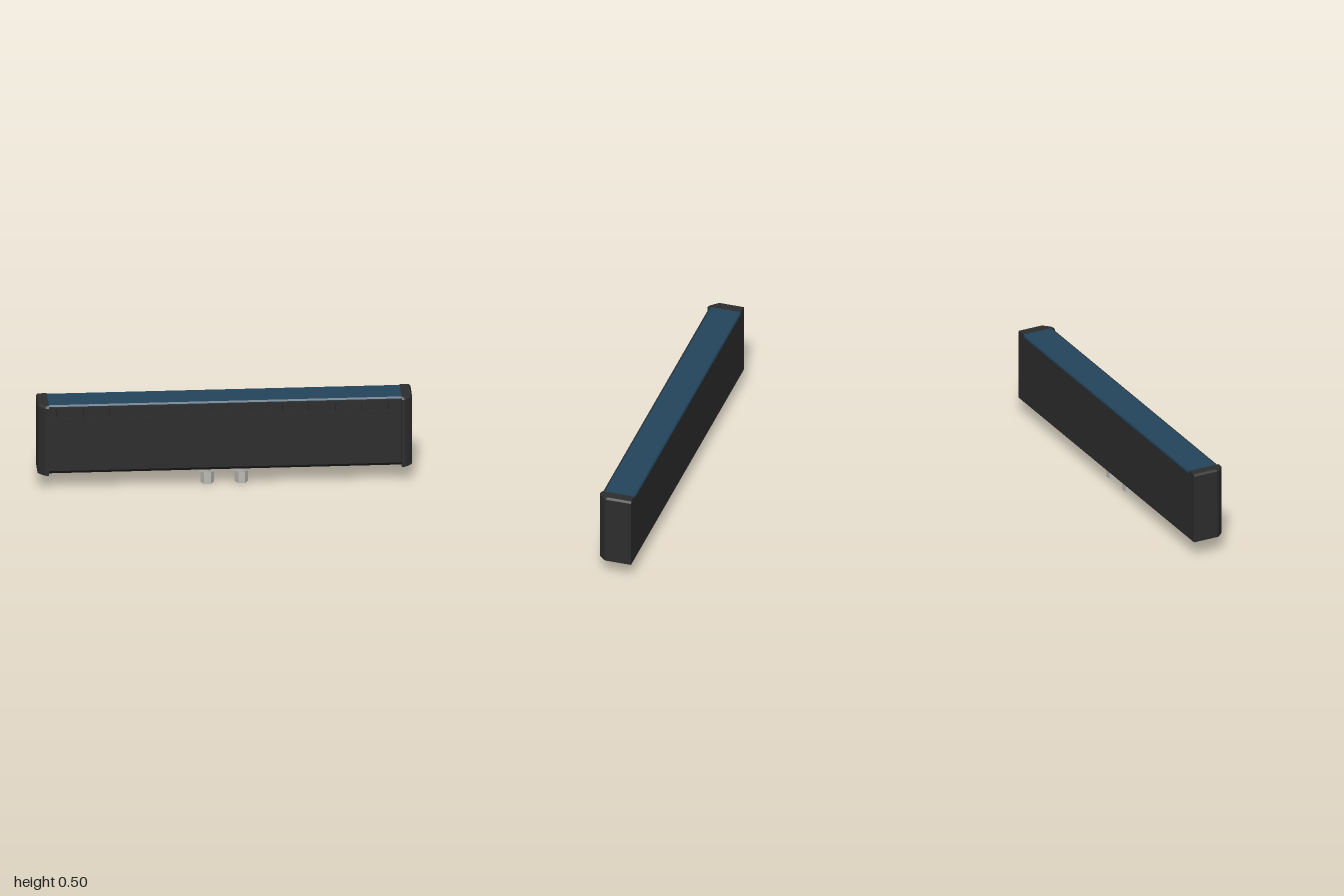
import * as THREE from 'three';

const casing = new THREE.MeshStandardMaterial({ name: 'dark casing', color: 0x2d2d2d });
const blue = new THREE.MeshStandardMaterial({ name: 'blue lid', color: 0x24455c });
const metal = new THREE.MeshStandardMaterial({ name: 'grey metal', color: 0xbcbab5 });

const BOTTOM = 0.098, TOP = 0.497, INNER = 0.942, BACK = -0.094;

const shapeOf = (points) => new THREE.Shape(points.map(([x, y]) => new THREE.Vector2(x, y)));

function add(group, name, geometry, material) {
  const mesh = new THREE.Mesh(geometry, material);
  mesh.name = name;
  group.add(mesh);
  return mesh;
}

// Extrude a (z, y) profile along x, centred.
function beam(profile) {
  const geometry = new THREE.ExtrudeGeometry(shapeOf(profile), { depth: 2 * INNER, bevelEnabled: false });
  return geometry.rotateY(-Math.PI / 2).translate(INNER, 0, 0);
}

// Front plate with a row of rounded slots near its top edge.
function frontPanel() {
  const shape = shapeOf([[-INNER, 0.12], [INNER, 0.12], [INNER, 0.486], [-INNER, 0.486]]);
  const count = 27, w = 0.021, y0 = 0.42, y1 = 0.478, c = 0.006;
  for (let i = 0; i < count; i++) {
    const x = (i - (count - 1) / 2) * 0.0708;
    shape.holes.push(new THREE.Path([
      [x - w + c, y0], [x - w, y0 + c], [x - w, y1 - c], [x - w + c, y1],
      [x + w - c, y1], [x + w, y1 - c], [x + w, y0 + c], [x + w - c, y0],
    ].map(([a, b]) => new THREE.Vector2(a, b))));
  }
  return new THREE.ExtrudeGeometry(shape, { depth: 0.012, bevelEnabled: false }).translate(0, 0, 0.072);
}

// End cap: faceted front corner, with a small chamfer round the top.
function endCap(side) {
  const plan = [[INNER, BACK], [1, BACK], [1, 0.048], [0.994, 0.06], [0.966, 0.089], [0.956, 0.094], [INNER, 0.094]];
  const height = TOP - BOTTOM;
  const geometry = new THREE.ExtrudeGeometry(shapeOf(plan.map(([x, z]) => [side * x, -z])),
    { depth: height, steps: 2, bevelEnabled: false });
  geometry.rotateX(-Math.PI / 2).translate(0, BOTTOM, 0);
  const p = geometry.attributes.position;
  for (let i = 0; i < p.count; i++) {
    const level = Math.round((p.getY(i) - BOTTOM) / height * 2);
    if (level === 1) p.setY(i, TOP - 0.011);
    if (level === 2) {
      if (Math.abs(p.getX(i)) > 0.95) p.setX(i, p.getX(i) - side * 0.008);
      if (p.getZ(i) > 0) p.setZ(i, p.getZ(i) - 0.011);
    }
  }
  geometry.computeVertexNormals();
  return geometry;
}

// Hollow hexagonal sleeve standing on y = 0.
function sleeve(radius, bore, height) {
  const shape = shapeOf(Array.from({ length: 6 }, (_, i) =>
    [radius * Math.cos(i * Math.PI / 3), radius * Math.sin(i * Math.PI / 3)]));
  shape.holes.push(new THREE.Path().absarc(0, 0, bore, 0, Math.PI * 2, true));
  return new THREE.ExtrudeGeometry(shape, { depth: height, bevelEnabled: false, curveSegments: 12 })
    .rotateX(-Math.PI / 2);
}

export function createModel() {
  const model = new THREE.Group();
  model.name = 'slottedBar';

  // Housing with a sloping lower front edge
  add(model, 'housing', beam([[BACK, BOTTOM], [0.06, BOTTOM], [0.084, 0.12], [0.072, 0.12],
    [0.072, 0.478], [BACK, 0.478]]), casing);
  add(model, 'frontPanel', frontPanel(), casing);
  add(model, 'lid', beam([[BACK, 0.478], [0.078, 0.478], [0.078, 0.488], [0.07, 0.496],
    [-0.088, 0.496], [BACK, 0.488]]), blue);

  for (const side of [-1, 1]) {
    add(model, side > 0 ? 'leftEndCap' : 'rightEndCap', endCap(side), casing);

    // Hexagonal nut and open connector below the housing
    const connector = new THREE.Group();
    connector.name = side > 0 ? 'leftConnector' : 'rightConnector';
    connector.position.set(side * 0.091, 0, -0.0035);
    const nut = new THREE.CylinderGeometry(0.0515, 0.0515, 0.026, 6).toNonIndexed();
    nut.computeVertexNormals();
    add(connector, 'nut', nut, metal).position.y = 0.085;
    add(connector, 'sleeve', sleeve(0.036, 0.024, 0.072), metal);
    model.add(connector);
  }
  return model;
}
